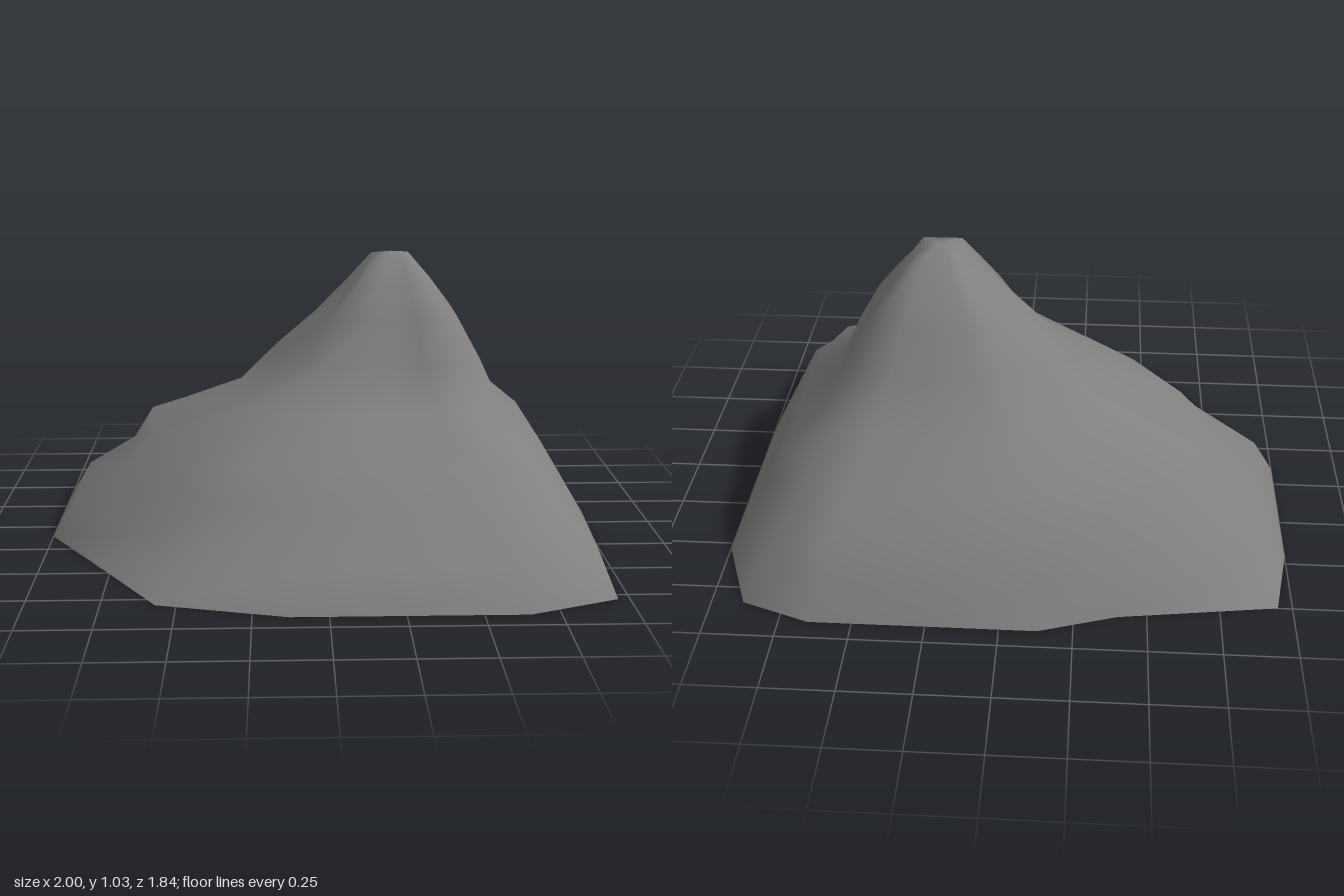
import * as THREE from 'three';

// Summit, from which spokes run down to the corners of the foot outline.
const PEAK = { x: 0.26, y: 1.035, z: -0.09 };
const LEVELS = [0, 0.125, 0.25, 0.375, 0.5, 0.66, 0.81, 0.92, 1.02];

// Spokes, going round from the left side towards the front:
// foot corner [x, z], then how far out the slope reaches at every level above the foot.
const left = [0.92, 0.82, 0.72, 0.53, 0.43, 0.32, 0.21, 0.095];
const front = [0.925, 0.73, 0.655, 0.36, 0.265, 0.21, 0.15, 0.08];
const back = [0.93, 0.83, 0.69, 0.52, 0.38, 0.31, 0.2, 0.097];
const SPOKES = [
  { foot: [1, -0.1], reach: left },
  { foot: [1, 0.27], reach: left },
  { foot: [0.96, 0.79], reach: [0.92, 0.77, 0.65, 0.43, 0.33, 0.26, 0.18, 0.093] },
  { foot: [0.65, 0.915], reach: front },
  { foot: [0.26, 0.915], reach: front },
  { foot: [-0.13, 0.915], reach: [0.925, 0.727, 0.65, 0.38, 0.28, 0.22, 0.16, 0.083] },
  { foot: [-0.57, 0.8], reach: [0.855, 0.725, 0.62, 0.42, 0.31, 0.235, 0.16, 0.088] },
  // spur
  { foot: [-0.78, 0.46], reach: [0.89, 0.77, 0.68, 0.53, 0.31, 0.22, 0.14, 0.067] },
  // right shoulder, with a slight hollow behind the spur
  { foot: [-1, 0.11], reach: [0.94, 0.79, 0.7, 0.44, 0.33, 0.21, 0.12, 0.056] },
  { foot: [-1, -0.46], reach: [0.94, 0.79, 0.73, 0.46, 0.34, 0.21, 0.12, 0.056] },
  { foot: [-0.95, -0.75], reach: [0.9, 0.76, 0.66, 0.44, 0.31, 0.21, 0.13, 0.062] },
  { foot: [-0.4, -0.83], reach: [0.92, 0.82, 0.69, 0.49, 0.37, 0.27, 0.18, 0.095] },
  // back
  { foot: [-0.13, -0.92], reach: back },
  { foot: [0.26, -0.92], reach: back },
  { foot: [0.65, -0.92], reach: back },
  // back left ridge
  { foot: [0.89, -0.83], reach: [0.92, 0.77, 0.67, 0.54, 0.39, 0.29, 0.21, 0.11] },
  { foot: [1, -0.53], reach: left },
];

function mountainGeometry() {
  const n = SPOKES.length;
  const positions = [];
  const index = [];

  // Contour rings, then the summit point
  LEVELS.forEach((y, level) => {
    SPOKES.forEach(({ foot: [x, z], reach }) => {
      const f = level === 0 ? 1 : reach[level - 1];
      positions.push(PEAK.x + (x - PEAK.x) * f, y, PEAK.z + (z - PEAK.z) * f);
    });
  });
  positions.push(PEAK.x, PEAK.y, PEAK.z);

  // Bands between rings
  for (let r = 0; r < LEVELS.length - 1; r++) {
    for (let i = 0; i < n; i++) {
      const a = r * n + i;
      const b = r * n + (i + 1) % n;
      index.push(a, a + n, b, b, a + n, b + n);
    }
  }
  // Cap around the summit
  const top = (LEVELS.length - 1) * n;
  for (let i = 0; i < n; i++) index.push(top + i, top + n, top + (i + 1) % n);

  const geometry = new THREE.BufferGeometry();
  geometry.setAttribute('position', new THREE.Float32BufferAttribute(positions, 3));
  geometry.setIndex(index);
  geometry.computeVertexNormals();
  return geometry;
}

export function createModel() {
  const group = new THREE.Group();
  group.name = 'mountain';
  // Open shell without a floor
  const material = new THREE.MeshStandardMaterial({ color: 0x808080, side: THREE.DoubleSide });
  const slopes = new THREE.Mesh(mountainGeometry(), material);
  slopes.name = 'mountainSlopes';
  group.add(slopes);
  return group;
}
